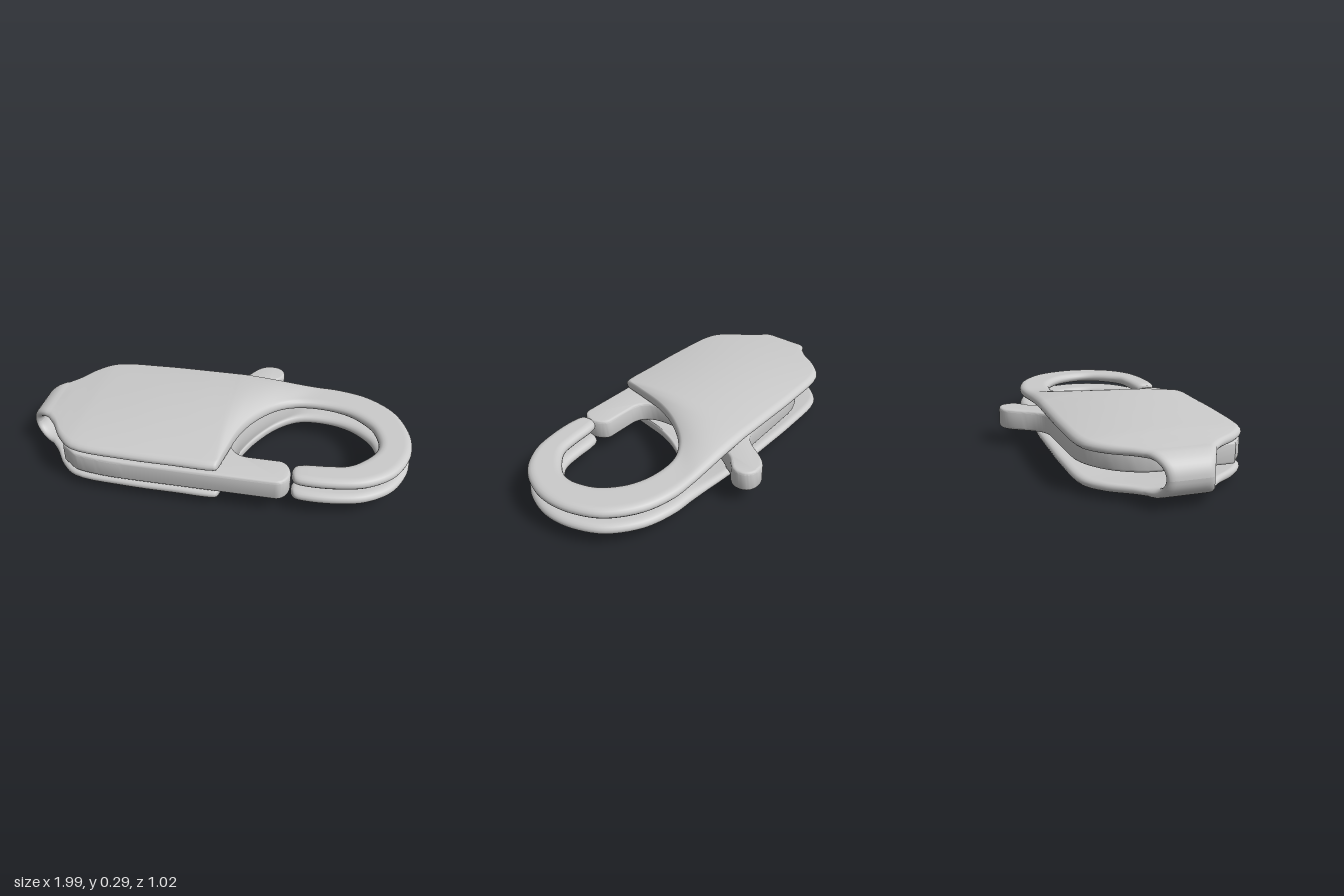
import * as THREE from 'three';
import { toCreasedNormals } from 'three/addons/utils/BufferGeometryUtils.js';

const MID = 0.15; // height of the mirror plane between the two shells
const V = (x, y, z) => new THREE.Vector3(x, y, z);

// Stations along one shell: outer edge x,z | inner edge x,z | height, thickness, dome
const STATIONS = [
  [-0.88, -0.075, -0.88, 0.255, 0.235, 0.04, 0],
  [-0.83, -0.13, -0.83, 0.31, 0.235, 0.042, 0.006],
  [-0.76, -0.23, -0.76, 0.41, 0.235, 0.045, 0.012],
  [-0.67, -0.3, -0.67, 0.48, 0.235, 0.048, 0.02],
  [-0.4, -0.325, -0.4, 0.505, 0.235, 0.05, 0.032],
  [-0.15, -0.328, -0.15, 0.507, 0.235, 0.05, 0.036],
  [-0.02, -0.328, 0.05, 0.505, 0.235, 0.05, 0.034],
  [0.02, -0.328, 0.065, 0.495, 0.235, 0.05, 0.033],
  [0.06, -0.328, 0.085, 0.4, 0.235, 0.05, 0.03],
  [0.14, -0.328, 0.125, 0.2, 0.23, 0.05, 0.026],
  [0.24, -0.328, 0.19, 0.05, 0.222, 0.05, 0.02],
  [0.36, -0.328, 0.29, -0.08, 0.21, 0.05, 0.01],
  [0.48, -0.328, 0.4, -0.145, 0.2, 0.054, 0],
];
// The hook keeps one height and thickness
const HOOK = [
  [0.6, -0.325, 0.56, -0.15], [0.76, -0.28, 0.68, -0.11], [0.9, -0.17, 0.78, -0.02],
  [0.97, -0.03, 0.815, 0.06], [0.99, 0.1, 0.825, 0.125], [0.97, 0.22, 0.81, 0.19],
  [0.9, 0.35, 0.75, 0.27], [0.78, 0.44, 0.68, 0.325], [0.65, 0.475, 0.58, 0.345],
  [0.5, 0.485, 0.48, 0.355],
].map((s) => [...s, 0.197, 0.055, 0]);
const TIP = [
  [0.44, 0.475, 0.435, 0.37, 0.197, 0.05, 0],
  [0.42, 0.445, 0.42, 0.4, 0.197, 0.03, 0],
];

// Rounded, domed cross-section between two edge points
function section(a, b, normal, thick, dome) {
  const centre = a.clone().add(b).multiplyScalar(0.5);
  const w = a.distanceTo(b) / 2;
  const dir = b.clone().sub(a).normalize();
  const round = Math.min(w * 0.6, 0.035);
  const pts = [];
  const put = (s, h) => {
    const t = s / w;
    pts.push(centre.clone().addScaledVector(dir, s)
      .addScaledVector(normal, h + dome * (1 - t * t)));
  };
  const flat = w - round;
  for (let i = 0; i <= 10; i++) put(-flat + (2 * flat * i) / 10, thick / 2);
  for (let i = 1; i < 8; i++) {
    const q = (Math.PI * i) / 8;
    put(flat + round * Math.sin(q), (thick / 2) * Math.cos(q));
  }
  for (let i = 0; i <= 10; i++) put(flat - (2 * flat * i) / 10, -thick / 2);
  for (let i = 1; i < 8; i++) {
    const q = (Math.PI * i) / 8;
    put(-flat - round * Math.sin(q), (-thick / 2) * Math.cos(q));
  }
  return pts;
}

// One shell: half of the end bend, domed body and hook, lofted in one piece
function shellGeometry(sign) {
  const rings = [];
  for (let i = 0; i < 10; i++) {
    const q = (i / 10) * Math.PI / 2, c = Math.cos(q), s = Math.sin(q);
    const half = 0.11 + 0.055 * (1 - c);
    const x = -0.88 - 0.098 * c, y = MID + 0.085 * s;
    rings.push(section(V(x, y, 0.09 - half), V(x, y, 0.09 + half), V(-c, s, 0), 0.042, 0));
  }
  const rows = [...STATIONS, ...HOOK, ...TIP];
  const outer = new THREE.CatmullRomCurve3(rows.map((r) => V(r[0], r[4], r[1])));
  const inner = new THREE.CatmullRomCurve3(rows.map((r) => V(r[2], r[4], r[3])));
  const form = new THREE.CatmullRomCurve3(rows.map((r, i) => V(i, r[5], r[6])));
  const steps = (rows.length - 1) * 5;
  for (let i = 0; i <= steps; i++) {
    const t = i / steps, f = form.getPoint(t);
    rings.push(section(outer.getPoint(t), inner.getPoint(t), V(0, 1, 0), f.y, f.z));
  }

  const n = rings[0].length, pos = [], index = [];
  const put = (p) => pos.push(p.x, MID + sign * (p.y - MID), p.z);
  const tri = (a, b, c) => (sign > 0 ? index.push(a, b, c) : index.push(a, c, b));
  rings.forEach((ring) => ring.forEach(put));
  for (let i = 0; i < rings.length - 1; i++) {
    for (let j = 0; j < n; j++) {
      const k = (j + 1) % n, a = i * n, b = a + n;
      tri(a + j, a + k, b + j);
      tri(a + k, b + k, b + j);
    }
  }
  // Close the hook tip
  const last = rings[rings.length - 1], base = (rings.length - 1) * n;
  const mid = V(0, 0, 0);
  last.forEach((p) => mid.addScaledVector(p, 1 / n));
  put(mid);
  for (let j = 0; j < n; j++) tri(base + n, base + j, base + (j + 1) % n);

  const g = new THREE.BufferGeometry();
  g.setAttribute('position', new THREE.Float32BufferAttribute(pos, 3));
  g.setIndex(index);
  g.computeVertexNormals();
  return g;
}

// Flat lever between the shells: gate at the front, thumb tab at the back
function leverGeometry() {
  const s = new THREE.Shape();
  s.moveTo(-0.66, 0.48);
  s.quadraticCurveTo(-0.55, 0.507, -0.4, 0.507);
  s.lineTo(0.35, 0.507);
  s.bezierCurveTo(0.39, 0.507, 0.415, 0.46, 0.415, 0.425);
  s.bezierCurveTo(0.415, 0.39, 0.39, 0.337, 0.35, 0.337);
  s.lineTo(0.2, 0.337);
  s.bezierCurveTo(0.13, 0.337, 0.09, 0.29, 0.08, 0.2);
  s.bezierCurveTo(0.06, 0, 0.1, -0.2, 0.19, -0.31);
  s.bezierCurveTo(0.21, -0.37, 0.28, -0.38, 0.28, -0.44);
  s.bezierCurveTo(0.28, -0.49, 0.25, -0.515, 0.2, -0.515);
  s.bezierCurveTo(0.11, -0.515, 0.09, -0.4, 0.03, -0.34);
  s.quadraticCurveTo(-0.01, -0.295, -0.1, -0.295);
  s.lineTo(-0.42, -0.28);
  s.bezierCurveTo(-0.6, -0.27, -0.74, -0.1, -0.74, 0.05);
  s.lineTo(-0.74, 0.42);
  s.closePath();
  const bevel = 0.014;
  const g = new THREE.ExtrudeGeometry(s, {
    depth: 0.11 - 2 * bevel, curveSegments: 14, bevelEnabled: true,
    bevelThickness: bevel, bevelSize: bevel, bevelOffset: -bevel, bevelSegments: 3,
  });
  g.rotateX(Math.PI / 2);
  g.translate(0, 0.205 - bevel, 0);
  return toCreasedNormals(g, 0.6);
}

export function createModel() {
  const group = new THREE.Group();
  group.name = 'claspHook';
  const material = new THREE.MeshStandardMaterial({ color: 0xcccccc });
  const add = (name, geometry) => {
    const mesh = new THREE.Mesh(geometry, material);
    mesh.name = name;
    group.add(mesh);
  };
  add('upperShell', shellGeometry(1));
  add('lowerShell', shellGeometry(-1));
  add('lever', leverGeometry());
  return group;
}
